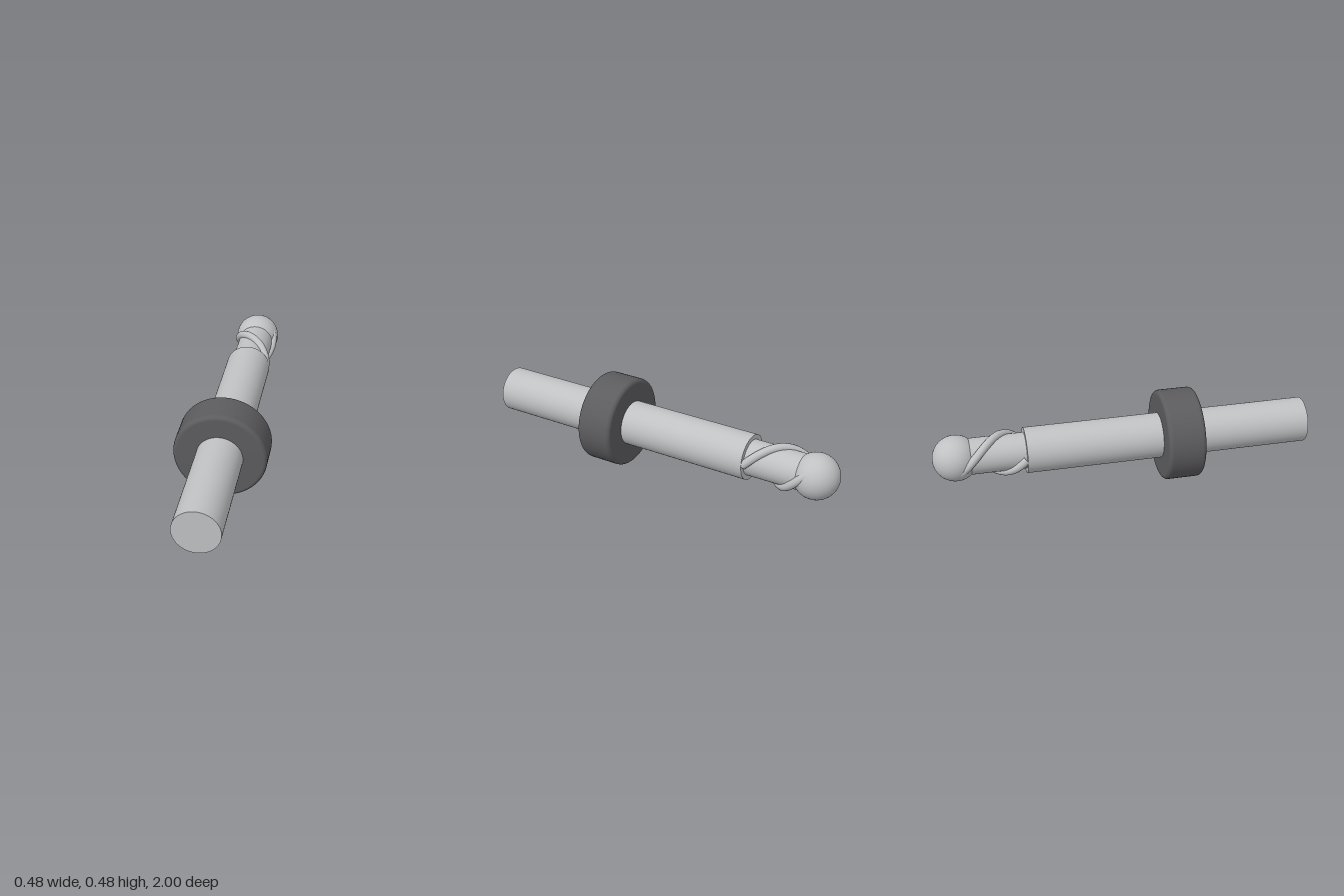
import * as THREE from 'three';

const AXIS_Y = 0.24;   // height of the tool axis
const SHANK_R = 0.12;

export function createModel() {
  const steel = new THREE.MeshStandardMaterial({ name: 'steel', color: 0xc0c1c3 });
  const darkRubber = new THREE.MeshStandardMaterial({ name: 'dark collar grey', color: 0x5c5c5f });

  const model = new THREE.Group();
  model.name = 'ballNoseMill';
  const tool = new THREE.Group();
  tool.name = 'tool';
  tool.position.y = AXIS_Y;
  model.add(tool);

  function add(name, geometry, material) {
    const mesh = new THREE.Mesh(geometry, material);
    mesh.name = name;
    tool.add(mesh);
    return mesh;
  }

  // Cylinder along z between two depths
  function rod(name, radius, front, back) {
    const geometry = new THREE.CylinderGeometry(radius, radius, front - back, 64);
    geometry.rotateX(Math.PI / 2);
    geometry.translate(0, 0, (front + back) / 2);
    return add(name, geometry, steel);
  }

  rod('shank', SHANK_R, 1, -0.52);
  rod('cutterCore', 0.095, -0.52, -0.88);

  // Rounded cutting tip
  const tip = new THREE.SphereGeometry(SHANK_R, 48, 32);
  tip.rotateX(Math.PI / 2);
  add('ballTip', tip, steel).position.z = -0.88;

  // Two helical cutting edges, half a turn apart
  const fluteRadius = 0.022;
  for (let f = 0; f < 2; f++) {
    const points = [];
    for (let i = 0; i <= 24; i++) {
      const t = i / 24;
      const angle = f * Math.PI + t * 1.2 * Math.PI;
      const r = SHANK_R - fluteRadius;
      points.push(new THREE.Vector3(r * Math.cos(angle), r * Math.sin(angle), -0.52 - 0.36 * t));
    }
    const path = new THREE.CatmullRomCurve3(points);
    add('cuttingEdge' + (f + 1), new THREE.TubeGeometry(path, 64, fluteRadius, 12), steel);
  }

  // Depth collar: a ring with rounded outer edges
  const half = 0.1, outer = 0.24, bevel = 0.022;
  const flat = [[SHANK_R - 0.005, -half], [outer - bevel, -half]];
  const profile = flat.map(([x, y]) => new THREE.Vector2(x, y));
  profile.push(profile[1].clone());
  for (const side of [-1, 1]) {
    for (let i = 0; i <= 6; i++) {
      const a = (side < 0 ? i - 6 : i) / 6 * Math.PI / 2;
      profile.push(new THREE.Vector2(
        outer - bevel + bevel * Math.cos(a),
        side * (half - bevel) + bevel * Math.sin(a)));
    }
  }
  profile.push(new THREE.Vector2(SHANK_R - 0.005, half));
  // drop repeated points so the normals stay clean
  const clean = profile.filter((p, i) => i === 0 || p.distanceTo(profile[i - 1]) > 1e-5);
  const collar = new THREE.LatheGeometry(clean, 64);
  collar.rotateX(Math.PI / 2);
  add('depthCollar', collar, darkRubber).position.z = 0.3;

  return model;
}
